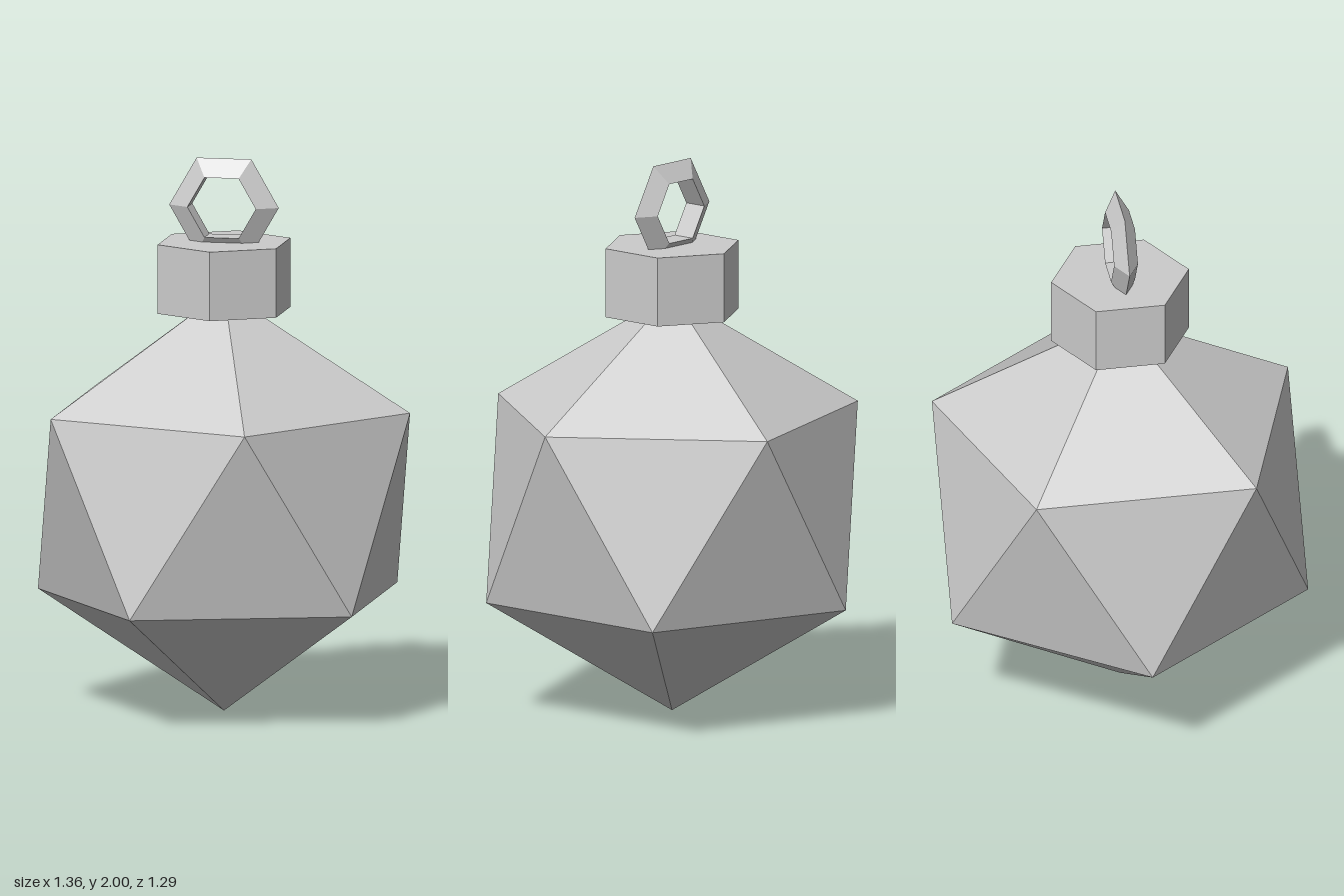
import * as THREE from 'three';

// Twenty-sided gem with its points on the y axis and two staggered rings of five corners
function gemGeometry(radius) {
  const ringRadius = radius * 2 / Math.sqrt(5);
  const ringHeight = radius / Math.sqrt(5);
  const corner = (i, upper) => {
    const a = i * Math.PI * 2 / 5 + (upper ? 0 : Math.PI / 5);
    return new THREE.Vector3(Math.cos(a) * ringRadius, upper ? ringHeight : -ringHeight, -Math.sin(a) * ringRadius);
  };
  const top = new THREE.Vector3(0, radius, 0);
  const bottom = new THREE.Vector3(0, -radius, 0);
  const points = [];
  for (let i = 0; i < 5; i++) {
    const u0 = corner(i, true), u1 = corner(i + 1, true);
    const l0 = corner(i, false), l1 = corner(i + 1, false);
    points.push(top, u0, u1, u0, l0, u1, u1, l0, l1, bottom, l1, l0);
  }
  const geometry = new THREE.BufferGeometry().setFromPoints(points);
  geometry.computeVertexNormals();
  return geometry;
}

export function createModel() {
  const group = new THREE.Group();
  const grey = new THREE.MeshStandardMaterial({ color: 0xcccccc, flatShading: true });
  grey.name = 'light grey';

  const add = (name, geometry, y) => {
    const mesh = new THREE.Mesh(geometry, grey);
    mesh.name = name;
    mesh.position.y = y;
    group.add(mesh);
  };

  // Faceted bauble body
  add('body', gemGeometry(0.76), 0.76);
  // Hexagonal cap over the upper point
  add('cap', new THREE.CylinderGeometry(0.25, 0.25, 0.25, 6), 1.575);
  // Six-sided hanging ring with a triangular section, sunk slightly into the cap
  add('hangingRing', new THREE.TorusGeometry(0.15, 0.05, 3, 6), 1.827);

  return group;
}
